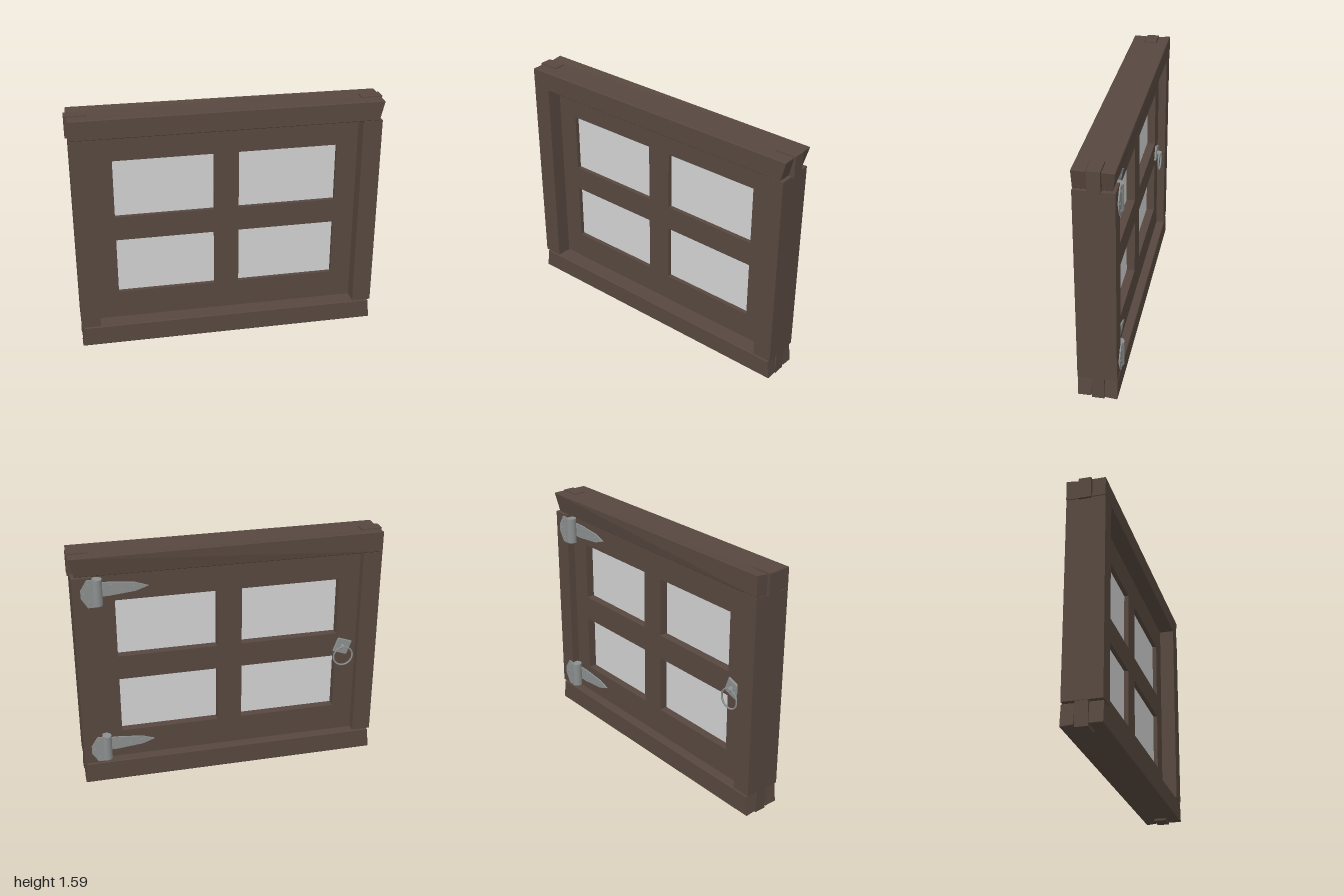
import * as THREE from 'three';

const wood = new THREE.MeshStandardMaterial({ color: 0x57483f });
wood.name = 'dark wood';
const glass = new THREE.MeshStandardMaterial({ color: 0xd2d2d2 });
glass.name = 'pale glass';
const iron = new THREE.MeshStandardMaterial({ color: 0x8c8f8f });
iron.name = 'grey iron';

function add(parent, name, geometry, material, x = 0, y = 0, z = 0) {
  const mesh = new THREE.Mesh(geometry, material);
  mesh.name = name;
  mesh.position.set(x, y, z);
  parent.add(mesh);
  return mesh;
}

// Box given by its limits
function block(parent, name, material, x0, x1, y0, y1, z0, z1) {
  return add(parent, name, new THREE.BoxGeometry(x1 - x0, y1 - y0, z1 - z0), material,
    (x0 + x1) / 2, (y0 + y1) / 2, (z0 + z1) / 2);
}

function polygon(points) {
  return new THREE.Shape(points.map(([x, y]) => new THREE.Vector2(x, y)));
}

function rectPoints(x0, x1, y0, y1) {
  return [[x0, y0], [x1, y0], [x1, y1], [x0, y1]];
}

function plate(points, depth, bevel = 0) {
  return new THREE.ExtrudeGeometry(polygon(points), {
    depth, bevelEnabled: bevel > 0, bevelSize: bevel, bevelThickness: bevel,
    bevelOffset: -bevel, bevelSegments: 1,
  });
}

// Horizontal beam with forked ends; wear(v) shifts its vertices
function beam(parent, name, y0, y1, wear) {
  const b = 0.004, e = 0.98, n = 0.862;
  // plan outline, drawn as (x, -z)
  const geometry = plate([
    [-e, -0.13], [e, -0.13], [e, -0.047], [n, -0.047], [n, 0.037], [e, 0.037], [e, 0.115],
    [-e, 0.115], [-e, 0.037], [-n, 0.037], [-n, -0.047], [-e, -0.047],
  ], y1 - y0 - 2 * b, b);
  geometry.rotateX(-Math.PI / 2);
  geometry.translate(0, y0 + b, 0);
  const p = geometry.attributes.position, v = new THREE.Vector3();
  for (let i = 0; i < p.count; i++) {
    wear(v.fromBufferAttribute(p, i));
    p.setXYZ(i, v.x, v.y, v.z);
  }
  geometry.computeVertexNormals();
  add(parent, name, geometry, wood);
}

// Strap hinge, with local +z pointing away from the window
function hinge(y) {
  const g = new THREE.Group();
  g.name = 'hinge';
  g.position.y = y;
  add(g, 'hingePlate', plate([
    [-0.84, -0.09], [-0.84, 0.09], [-0.89, 0.09], [-0.93, 0.025], [-0.93, -0.025], [-0.89, -0.09],
  ], 0.008), iron, 0, 0, 0.115);
  add(g, 'hingeBarrel', new THREE.CylinderGeometry(0.034, 0.034, 0.17, 16), iron, -0.83, 0, 0.098);
  add(g, 'hingeStrap', plate([
    [-0.83, -0.045], [-0.76, -0.045], [-0.59, -0.028], [-0.51, 0],
    [-0.59, 0.028], [-0.76, 0.045], [-0.83, 0.045],
  ], 0.01), iron, 0, 0, 0.06);
  const screws = [[-0.91, 0, 0.124], [-0.88, 0.06, 0.124], [-0.88, -0.06, 0.124],
    [-0.74, 0.02, 0.071], [-0.67, -0.015, 0.071], [-0.6, 0, 0.071]];
  for (const [x, sy, z] of screws) {
    const screw = add(g, 'screw', new THREE.CylinderGeometry(0.008, 0.01, 0.006, 8), iron, x, sy, z);
    screw.rotation.x = Math.PI / 2;
  }
  return g;
}

export function createModel() {
  const model = new THREE.Group();
  model.name = 'window';

  // Top and bottom beams, with slightly skewed, worn ends
  beam(model, 'topBeam', 1.457, 1.585, (v) => {
    if (Math.abs(v.x) < 0.95) return;
    const t = (v.y - 1.457) / 0.128;
    if (v.x > 0) v.x += 0.01 * t - 0.02 * (1 - t);
    if (v.x > 0 && v.z < -0.1) v.z += 0.02 * (1 - t);
    if (v.x < 0 && v.z < -0.1) v.y += 0.008 * t;
  });
  beam(model, 'bottomBeam', 0.012, 0.146, (v) => {
    if (Math.abs(v.x) < 0.95) return;
    const t = (v.y - 0.012) / 0.134;
    v.x -= Math.sign(v.x) * 0.015 * t;
    if (v.z < -0.1) v.y -= 0.006 * (1 - t);
  });

  // Side posts with tenons through the beams
  for (const s of [-1, 1]) {
    const post = new THREE.Group();
    post.name = s > 0 ? 'leftPost' : 'rightPost';
    block(post, 'postBody', wood, s * 0.918 - 0.062, s * 0.918 + 0.062, 0.153, 1.456, -0.113, 0.13);
    block(post, 'topTenon', wood, s * 0.93 - 0.066, s * 0.93 + 0.066, 1.45, 1.588, -0.034, 0.044);
    block(post, 'bottomTenon', wood, s * 0.92 - 0.056, s * 0.92 + 0.056, 0, 0.156, -0.034, 0.044);
    model.add(post);
  }

  // Sash with four openings, and a pane in each
  const sash = polygon(rectPoints(-0.857, 0.857, 0.152, 1.457));
  for (const [x0, x1] of [[-0.72, -0.08], [0.08, 0.72]]) {
    for (const [y0, y1] of [[0.34, 0.722], [0.885, 1.272]]) {
      sash.holes.push(new THREE.Path(polygon(rectPoints(x0, x1, y0, y1)).getPoints()));
      block(model, 'pane', glass, x0, x1, y0, y1, -0.006, 0.002);
    }
  }
  add(model, 'sash', new THREE.ExtrudeGeometry(sash, { depth: 0.09, bevelEnabled: false }),
    wood, 0, 0, -0.06);

  // Ironwork on the back
  const ironwork = new THREE.Group();
  ironwork.name = 'ironwork';
  ironwork.rotation.y = Math.PI;
  ironwork.add(hinge(1.355), hinge(0.255));

  // Ring pull
  const pull = new THREE.Group();
  pull.name = 'ringPull';
  pull.position.set(0.765, 0.79, 0.06);
  const back = add(pull, 'pullPlate', plate(rectPoints(-0.05, 0.05, -0.05, 0.05), 0.01, 0.003), iron);
  back.rotation.z = -0.35;
  const knob = add(pull, 'pullKnob', new THREE.CylinderGeometry(0.014, 0.018, 0.035, 10), iron, 0, 0, 0.025);
  knob.rotation.x = Math.PI / 2;
  add(pull, 'ring', new THREE.TorusGeometry(0.065, 0.006, 8, 28), iron, 0, -0.062, 0.03);
  ironwork.add(pull);
  model.add(ironwork);

  return model;
}
